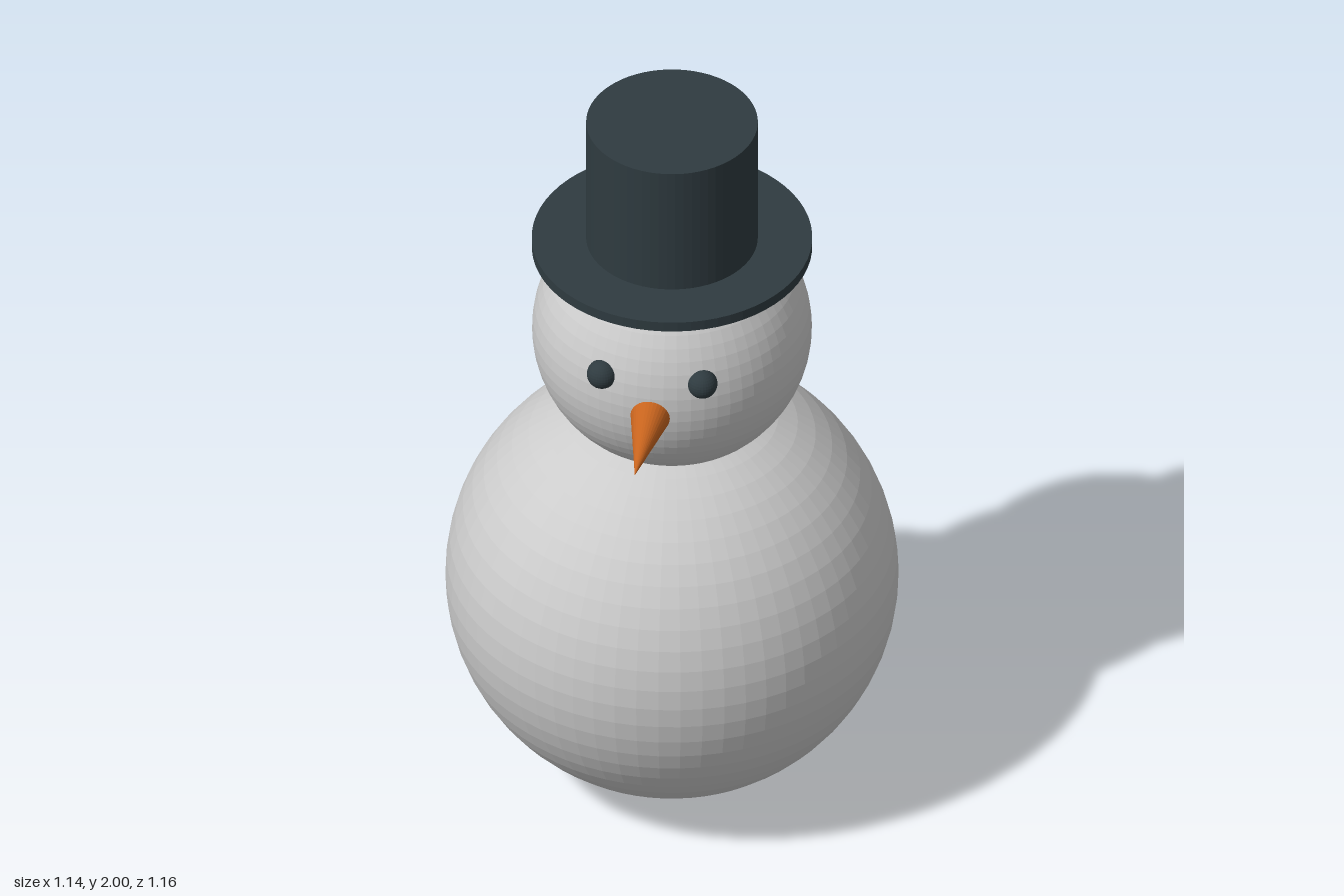
import * as THREE from 'three';

const AXIS_Z = -0.015; // the stacked parts share one vertical axis

export function createModel() {
  const model = new THREE.Group();
  model.name = 'snowman';

  const material = (color) => new THREE.MeshStandardMaterial({ color, flatShading: true });
  const snow = material(0xcccccc);
  const dark = material(0x2f3b40);
  const orange = material(0xc8641e);

  const add = (parent, name, geometry, mat, x, y, z) => {
    const mesh = new THREE.Mesh(geometry, mat);
    mesh.name = name;
    mesh.position.set(x, y, z);
    parent.add(mesh);
    return mesh;
  };

  // Two overlapping snowballs
  add(model, 'body', new THREE.SphereGeometry(0.57, 64, 32), snow, 0, 0.57, AXIS_Z);
  add(model, 'head', new THREE.SphereGeometry(0.352, 64, 32), snow, 0, 1.35, AXIS_Z);

  // Eyes, half sunk into the head
  for (const [name, side] of [['leftEye', 1], ['rightEye', -1]]) {
    add(model, name, new THREE.SphereGeometry(0.038, 32, 16), dark, side * 0.128, 1.424, 0.3);
  }

  // Carrot nose pointing forward
  const nose = add(model, 'nose', new THREE.ConeGeometry(0.052, 0.255, 32), orange, 0, 1.328, 0.45);
  nose.rotation.x = Math.PI / 2;

  // Top hat
  const hat = new THREE.Group();
  hat.name = 'hat';
  hat.position.z = AXIS_Z;
  model.add(hat);
  add(hat, 'brim', new THREE.CylinderGeometry(0.353, 0.353, 0.028, 64), dark, 0, 1.62, 0);
  add(hat, 'crown', new THREE.CylinderGeometry(0.216, 0.216, 0.38, 64), dark, 0, 1.81, 0);

  return model;
}
